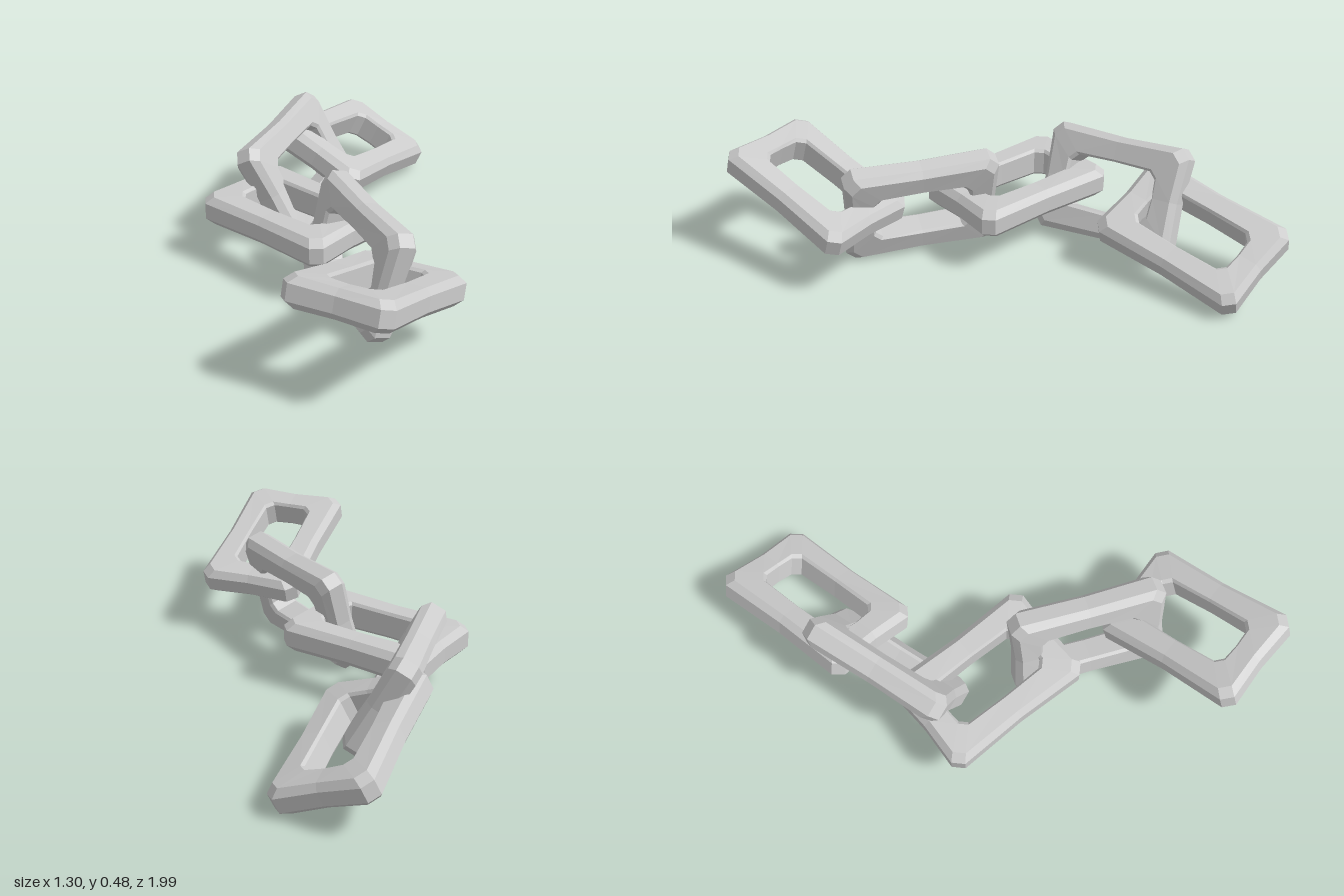
import * as THREE from 'three';

const material = new THREE.MeshStandardMaterial({ color: 0xcccccc, flatShading: true });

// Half outline of a chamfered rectangle, counter-clockwise, with slightly pinched side middles
function outline(hx, hy, c, pinch) {
  return [
    [hx - pinch, 0], [hx, hy - c], [hx - c, hy], [0, hy - pinch],
    [-hx + c, hy], [-hx, hy - c], [-hx + pinch, 0], [-hx, -hy + c],
    [-hx + c, -hy], [0, -hy + pinch], [hx - c, -hy], [hx, -hy + c],
  ];
}

// One chunky link: a bevelled bar swept around a rectangle
function linkGeometry(length, width, thick) {
  const outer = outline(length / 2, width / 2, 0.04, 0.01);
  const inner = outline(length / 2 - 0.125, width / 2 - 0.122, 0.03, -0.004);
  const rings = outer.map((o, i) => {
    const n = inner[i];
    const h = thick / 2 * (i % 3 === 0 ? 0.95 : 1);
    const at = (k, z) => new THREE.Vector3(o[0] + (n[0] - o[0]) * k, o[1] + (n[1] - o[1]) * k, z);
    // Bar section: bevelled outside, nearly sharp inside
    return [at(0, -h * 0.55), at(0, h * 0.55), at(0.22, h), at(0.92, h),
      at(1, h * 0.8), at(1, -h * 0.8), at(0.92, -h), at(0.22, -h)];
  });
  const points = [];
  rings.forEach((ring, i) => {
    const next = rings[(i + 1) % rings.length];
    ring.forEach((a, j) => {
      const k = (j + 1) % ring.length;
      points.push(a, next[j], next[k], a, next[k], ring[k]);
    });
  });
  const geometry = new THREE.BufferGeometry().setFromPoints(points);
  geometry.computeVertexNormals();
  return geometry;
}

// Each link: centre, long axis, cross axis and size
const links = [
  { name: 'frontLink', centre: [0.425, 0.33, 0.655], along: [0, 0.3, 0.95], across: [1, 0, 0], size: [0.665, 0.45, 0.12] },
  { name: 'frontUprightLink', centre: [0.155, 0.24, 0.32], along: [0.82, -0.02, 0.57], across: [0.16, 0.95, -0.2], size: [0.65, 0.46, 0.12] },
  { name: 'middleLink', centre: [-0.25, 0.225, 0.125], along: [0.977, 0, 0.212], across: [-0.212, 0, 0.977], size: [0.67, 0.45, 0.125] },
  { name: 'backUprightLink', centre: [-0.455, 0.245, -0.235], along: [0.11, -0.06, 0.99], across: [-0.46, 0.88, 0.1], size: [0.65, 0.46, 0.12] },
  { name: 'backLink', centre: [-0.425, 0.19, -0.655], along: [0, 0.177, 0.98], across: [0.92, -0.38, 0.07], size: [0.69, 0.45, 0.12] },
];

export function createModel() {
  const chain = new THREE.Group();
  chain.name = 'chain';
  for (const { name, centre, along, across, size } of links) {
    const u = new THREE.Vector3(...along).normalize();
    const n = u.clone().cross(new THREE.Vector3(...across)).normalize();
    const v = n.clone().cross(u);
    const link = new THREE.Mesh(linkGeometry(...size), material);
    link.name = name;
    link.quaternion.setFromRotationMatrix(new THREE.Matrix4().makeBasis(u, v, n));
    link.position.set(...centre);
    chain.add(link);
  }
  return chain;
}
